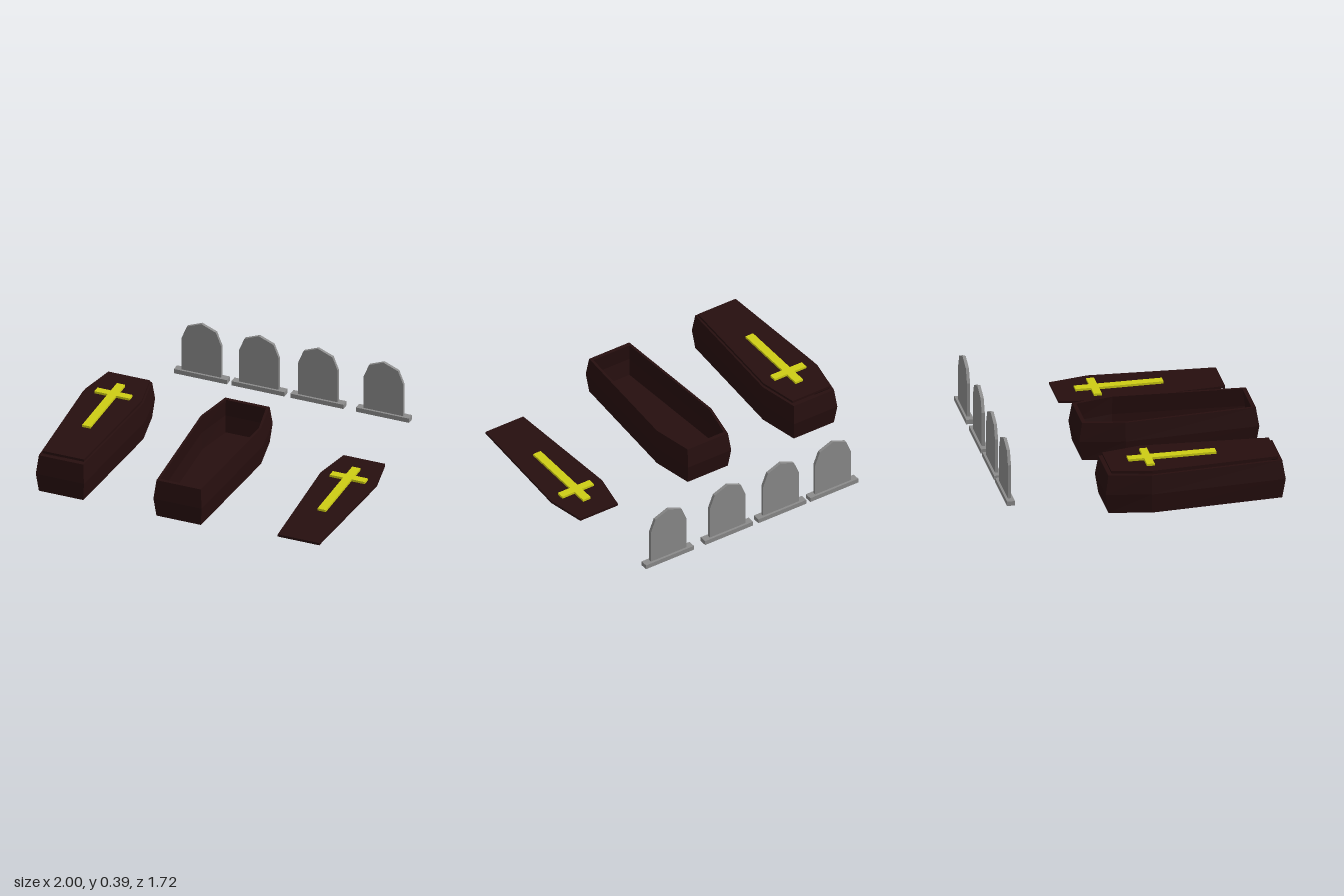
import * as THREE from 'three';

const wood = new THREE.MeshStandardMaterial({ color: 0x260e0e, flatShading: true });
wood.name = 'darkWood';
const gold = new THREE.MeshStandardMaterial({ color: 0xcccc14, flatShading: true });
gold.name = 'yellowPaint';
const stone = new THREE.MeshStandardMaterial({ color: 0x8a8a8a, flatShading: true });
stone.name = 'greyStone';

function add(parent, name, geometry, material, x = 0, y = 0, z = 0) {
  const mesh = new THREE.Mesh(geometry, material);
  mesh.name = name;
  mesh.position.set(x, y, z);
  parent.add(mesh);
  return mesh;
}

// Six-sided outline, counter-clockwise seen from above
const outline = (front, shoulder, back, zFront, zShoulder, zBack) => [
  [front, zFront], [shoulder, zShoulder], [back, zBack],
  [-back, zBack], [-shoulder, zShoulder], [-front, zFront],
];

// Solid through a stack of rings, closed by a cap at each end
function loft(rings) {
  const pos = [];
  const tri = (a, b, c) => pos.push(...a, ...b, ...c);
  const n = rings[0].length;
  for (let r = 0; r < rings.length - 1; r++) {
    for (let i = 0; i < n; i++) {
      const j = (i + 1) % n;
      const lo = rings[r], hi = rings[r + 1];
      tri(lo[i], lo[j], hi[j]);
      tri(lo[i], hi[j], hi[i]);
    }
  }
  const first = rings[0], last = rings[rings.length - 1];
  for (let i = 1; i < n - 1; i++) {
    tri(first[0], first[i + 1], first[i]);
    tri(last[0], last[i], last[i + 1]);
  }
  const g = new THREE.BufferGeometry();
  g.setAttribute('position', new THREE.Float32BufferAttribute(pos, 3));
  g.computeVertexNormals();
  return g;
}

const ring = (pts, y) => pts.map(([x, z]) => [x, y, z]);

// Hollow box, bulging slightly at mid height: up the outside, down the inside
function coffinBox() {
  const level = (inset, y) => ring(outline(
    0.162 - inset * 0.6, 0.215 - inset * 0.6, 0.162 - inset * 0.6,
    0.86 - inset, 0, -0.285 + inset), y);
  return loft([
    level(0.02, 0), level(0, 0.13), level(0.02, 0.255),
    level(0.045, 0.255), level(0.025, 0.13), level(0.04, 0.018),
  ]);
}

// Flat lid with a raised cross
function lid(name) {
  const g = new THREE.Group();
  g.name = name;
  const pts = outline(0.14, 0.19, 0.14, 0.817, 0.008, -0.243);
  add(g, 'lidBoard', loft([ring(pts, 0), ring(pts, 0.016)]), wood);
  add(g, 'crossUpright', new THREE.BoxGeometry(0.056, 0.015, 0.56), gold, 0.002, 0.0235, 0.17);
  for (const s of [-1, 1]) {
    add(g, 'crossArm', new THREE.BoxGeometry(0.09, 0.015, 0.05), gold, 0.002 + s * 0.073, 0.0235, 0.013);
  }
  return g;
}

// Upright slab with a faceted top, on a plinth
function gravestone() {
  const g = new THREE.Group();
  g.name = 'gravestone';
  add(g, 'plinth', new THREE.BoxGeometry(0.358, 0.03, 0.05), stone, 0, 0.02, 0);
  const shape = new THREE.Shape([
    [-0.133, 0.035], [0.133, 0.035], [0.133, 0.262], [0.098, 0.35],
    [0, 0.39], [-0.098, 0.35], [-0.133, 0.262],
  ].map(([x, y]) => new THREE.Vector2(x, y)));
  add(g, 'slab', new THREE.ExtrudeGeometry(shape, { depth: 0.02, bevelEnabled: false }), stone, 0, 0, -0.01);
  return g;
}

export function createModel() {
  const model = new THREE.Group();
  model.name = 'graveyardSet';

  // Closed coffin, open coffin and its loose lid
  const box = coffinBox();
  add(model, 'closedCoffin', box, wood, -0.783, 0, 0);
  add(model, 'openCoffin', box, wood, 0.01, 0, 0);
  const closedLid = lid('closedLid');
  closedLid.position.set(-0.779, 0.262, 0);
  const looseLid = lid('looseLid');
  looseLid.position.set(0.808, 0.019, 0);
  model.add(closedLid, looseLid);

  // Row of gravestones behind
  for (const x of [-0.537, -0.149, 0.249, 0.691]) {
    const g = gravestone();
    g.position.set(x, 0, -0.838);
    model.add(g);
  }
  return model;
}
